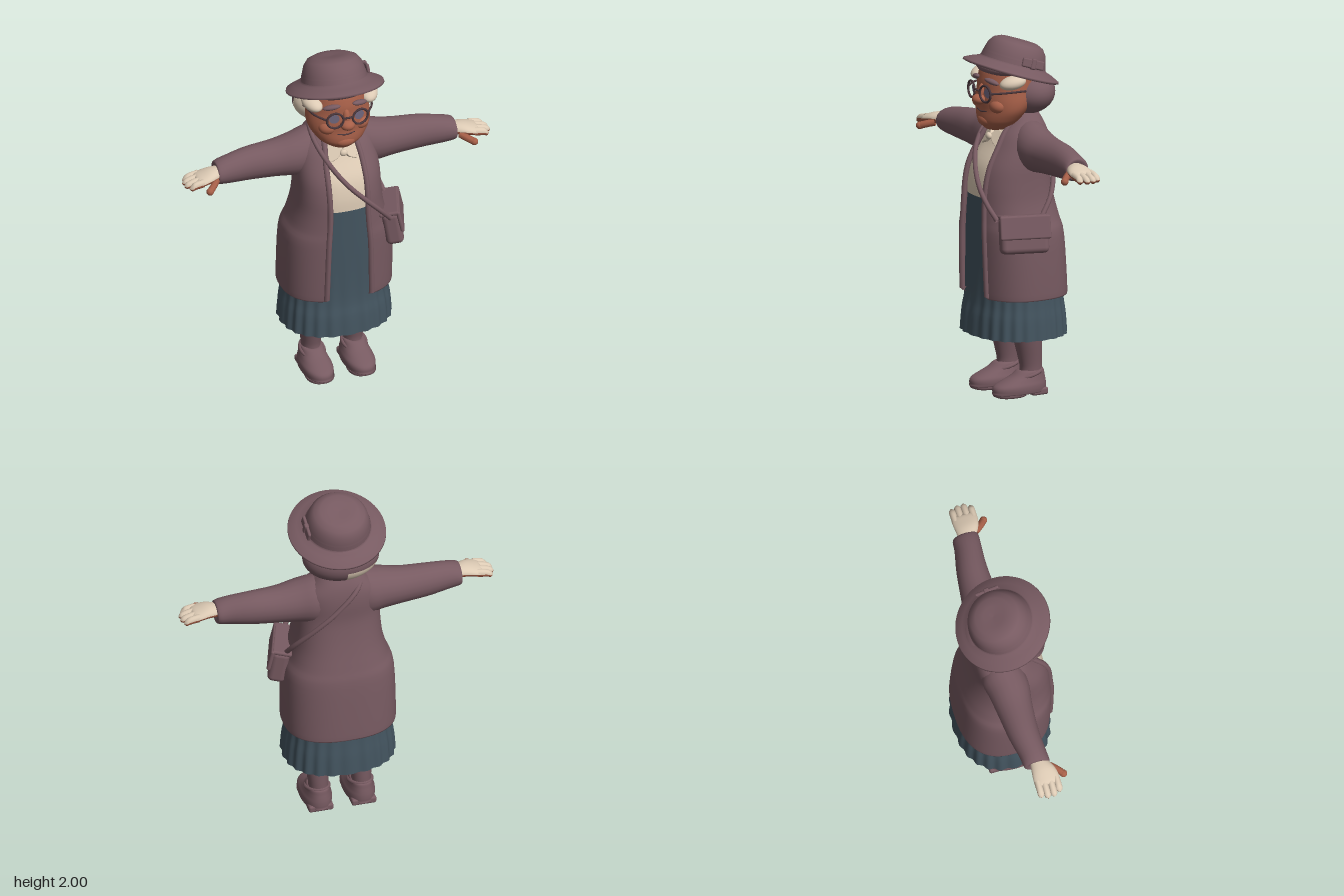
import * as THREE from 'three';
import { RoundedBoxGeometry } from 'three/addons/geometries/RoundedBoxGeometry.js';

const mat = (name, color) => {
  const m = new THREE.MeshStandardMaterial({ color, side: THREE.DoubleSide });
  m.name = name;
  return m;
};
const V = (x, y, z) => new THREE.Vector3(x, y, z);

// Catmull-Rom refinement of a list of number rows
function refine(rows, steps = 4) {
  const out = [];
  for (let i = 0; i < rows.length - 1; i++) {
    const [a, b, c, d] = [rows[Math.max(i - 1, 0)], rows[i], rows[i + 1], rows[Math.min(i + 2, rows.length - 1)]];
    for (let k = 0; k < steps; k++) {
      const t = k / steps;
      out.push(b.map((v, j) => v + 0.5 * t * (c[j] - a[j] + t * (2 * a[j] - 5 * v + 4 * c[j] - d[j] + t * (3 * (v - c[j]) + d[j] - a[j])))));
    }
  }
  out.push(rows[rows.length - 1]);
  return out;
}

// Skin a list of rings of points
function skin(rings, closed = true) {
  const n = rings[0].length, idx = [];
  for (let r = 0; r < rings.length - 1; r++) {
    for (let i = 0; i < (closed ? n : n - 1); i++) {
      const a = r * n + i, b = r * n + (i + 1) % n;
      idx.push(a, b, b + n, a, b + n, a + n);
    }
  }
  const g = new THREE.BufferGeometry().setFromPoints(rings.flat());
  g.setIndex(idx);
  g.computeVertexNormals();
  return g;
}

// Point on an upright section [y, halfWidth, zFront, zBack] at angle a from the front
const pw = (v, p) => Math.sign(v) * Math.abs(v) ** p;
function around([y, w, zf, zb], a, p = 1, x0 = 0) {
  return V(x0 + w * pw(Math.sin(a), p), y, (zf + zb) / 2 + (zf - zb) / 2 * pw(Math.cos(a), p));
}
const angles = (n, from = 0, to = Math.PI * 2, closed = true) =>
  Array.from({ length: n }, (_, i) => from + (to - from) * i / (closed ? n : n - 1));
const upright = (rows, p = 1, x0 = 0, n = 40) =>
  skin(refine(rows).map(r => angles(n).map(a => around(r, a, p, x0))));

// Limb along x from sections [x, y, ry, z, rz]; s is the side
const sideways = (rows, s, from = 0, to = Math.PI * 2, closed = true) =>
  skin(refine(rows).map(([x, y, ry, z, rz]) => angles(20, from, to, closed).map(b =>
    V(s * x, y + ry * Math.cos(b), z + rz * s * Math.sin(b)))), closed);

export function createModel() {
  const model = new THREE.Group();
  model.name = 'elderlyWoman';
  const mauve = mat('mauve', 0x775a61), navy = mat('navy', 0x43545f), cream = mat('cream', 0xdccab4);
  const skinTone = mat('skin', 0xa65f48), dark = mat('darkFrame', 0x4a373c), eyeTone = mat('eye', 0x6f667c);

  const add = (name, geo, material, pos = [0, 0, 0], rot = [0, 0, 0], parent = model) => {
    const m = new THREE.Mesh(geo, material);
    m.name = name;
    m.position.set(...pos);
    m.rotation.set(...rot);
    parent.add(m);
    return m;
  };
  const blob = (name, material, pos, radii, rot, ...arc) =>
    add(name, new THREE.SphereGeometry(1, 28, 18, ...arc), material, pos, rot).scale.set(...radii);
  const tube = (name, pts, r, material) =>
    add(name, new THREE.TubeGeometry(new THREE.CatmullRomCurve3(pts), 48, r, 8), material);

  // Pleated skirt with lining
  const skirtRows = [[.34, .31, .262, -.267], [.45, .302, .254, -.26], [.57, .288, .238, -.247],
    [.9, .275, .236, -.225], [1.14, .225, .235, -.17]];
  add('skirt', skin(refine(skirtRows).map(r => angles(168).map(a => {
    const k = 1 + .018 * Math.max(0, Math.min(1, (.85 - r[0]) / .45)) * Math.cos(24 * a);
    const p = around(r, a, .85);
    return V(p.x * k, p.y, p.z * k);
  }))), navy);
  add('skirtLining', upright([[.345, .298, .25, -.255], [.4, .27, .225, -.23], [.42, .001, 0, -.002]], .85), mauve);

  // Blouse
  add('blouse', upright([[1.12, .222, .236, -.16], [1.2, .22, .232, -.16], [1.3, .21, .208, -.15],
    [1.4, .19, .15, -.14], [1.47, .14, .115, -.12], [1.52, .09, .085, -.09]], .8), cream);
  for (const s of [-1, 1]) {
    const c = new THREE.Shape([[0, .01], [.03, .045], [.085, .04], [.075, -.045], [.035, -.03]].map(q => new THREE.Vector2(s * q[0], q[1])));
    add('blouseCollar', new THREE.ExtrudeGeometry(c, { depth: .012, bevelSize: .005, bevelThickness: .005 }),
      cream, [0, 1.445, .135], [-.5, s * .3, 0]);
  }
  blob('collarKnot', cream, [0, 1.45, .155], [.022, .02, .016]);

  // Open coat: the last number of each row is half the front opening
  const coatRows = refine([[.585, .275, .23, -.235, .13], [.57, .305, .25, -.258, .13], [.6, .315, .258, -.264, .13],
    [.9, .308, .265, -.245, .122], [1.0, .275, .263, -.224, .115], [1.1, .25, .26, -.2, .11], [1.2, .24, .252, -.18, .11],
    [1.3, .235, .226, -.167, .11], [1.4, .225, .17, -.17, .105], [1.47, .205, .125, -.165, .095],
    [1.53, .15, .075, -.15, .085], [1.59, .1, .045, -.12, .07]]);
  const coatRings = coatRows.map(r => {
    const a0 = Math.asin((r[4] / r[1]) ** (1 / .8));
    return angles(56, a0, Math.PI * 2 - a0, false).map(a => around(r, a, .8));
  });
  add('coat', skin(coatRings, false), mauve);
  for (const end of [0, 55])
    tube('coatFrontEdge', coatRings.slice(4).filter((_, i) => i % 2 === 0).map(r => r[end]), .016, mauve);
  tube('coatNeckEdge', coatRings[coatRings.length - 1].filter((_, i) => i % 5 === 0), .014, mauve);

  for (const s of [-1, 1]) {
    // Sleeve
    add('sleeve', sideways([[.08, 1.4, .15, -.035, .1], [.16, 1.4, .138, -.03, .12], [.24, 1.395, .122, -.02, .115],
      [.35, 1.39, .105, -.02, .1], [.5, 1.39, .095, -.015, .086], [.62, 1.387, .08, 0, .076],
      [.68, 1.384, .067, .005, .074], [.695, 1.382, .055, .008, .064], [.685, 1.382, .03, .01, .04]], s), mauve);

    // Hand: pale back, skin-coloured palm, four fingers
    const h = Math.PI / 2;
    const twoTone = (name, rows) => {
      add(name + 'Top', sideways(rows, s, -h, h, false), cream);
      add(name + 'Underside', sideways(rows, s, h, 3 * h, false), skinTone);
    };
    twoTone('palm', [[.67, 1.388, .034, .015, .045], [.73, 1.388, .034, .028, .064], [.78, 1.38, .03, .032, .072],
      [.815, 1.372, .024, .032, .07], [.825, 1.37, .004, .032, .06]]);
    [.085, .05, .014, -.02].forEach((z, i) => {
      const tip = [.872, .89, .89, .878][i];
      twoTone('finger', [[.79, 1.378, .024, z, .019], [.84, 1.37, .022, z, .019], [tip - .014, 1.36, .018, z, .017],
        [tip, 1.357, .002, z, .002]]);
    });
    tube('thumb', [V(s * .71, 1.37, .07), V(s * .745, 1.357, .11), V(s * .77, 1.347, .133)], .02, skinTone);
    blob('thumbTip', skinTone, [s * .77, 1.347, .133], [.021, .021, .021]);

    // Leg and shoe
    const x0 = s * .122;
    add('leg', upright([[.08, .055, .03, -.105], [.14, .054, .022, -.103], [.2, .06, .032, -.103], [.34, .082, .065, -.1],
      [.45, .088, .075, -.1]], 1, x0), mauve);
    add('shoe', upright([[.018, .001, .03, .028], [.016, .074, .183, -.115], [.03, .086, .195, -.125], [.06, .086, .188, -.126],
      [.085, .076, .14, -.123], [.11, .067, .082, -.118], [.135, .06, .045, -.113], [.14, .045, .03, -.1]], .9, x0), mauve);
    add('heel', new RoundedBoxGeometry(.14, .04, .1, 2, .012), mauve, [x0, .02, -.065]);
    add('sole', upright([[0, .001, .09, .088], [.001, .07, .178, .01], [.02, .08, .188, 0]], .85, x0), mauve);
    add('shoeStrap', new THREE.TorusGeometry(.062, .011, 8, 28), mauve, [x0, .118, -.018], [Math.PI / 2 + .25, 0, 0]).scale.set(1.02, 1.3, 1);
  }

  // Neck, head and face
  add('neck', upright([[1.42, .085, .09, -.08], [1.5, .075, .09, -.07], [1.6, .08, .1, -.07]]), skinTone);
  add('head', upright([[1.485, .002, .12, .118], [1.492, .06, .168, .04], [1.53, .118, .2, .0], [1.565, .148, .206, -.03],
    [1.61, .174, .203, -.06], [1.66, .182, .206, -.1], [1.72, .176, .2, -.12], [1.78, .17, .195, -.13],
    [1.85, .15, .16, -.12], [1.88, .01, .03, 0]]), skinTone);
  blob('nose', skinTone, [0, 1.665, .215], [.042, .03, .042]);
  blob('noseBridge', skinTone, [0, 1.705, .2], [.022, .05, .024], [-.2, 0, 0]);
  blob('chin', skinTone, [0, 1.545, .178], [.06, .035, .034]);
  tube('mouth', [V(-.05, 1.602, .195), V(0, 1.597, .206), V(.05, 1.602, .195)], .004, dark);
  for (const s of [-1, 1]) {
    blob('cheek', skinTone, [s * .09, 1.635, .15], [.055, .042, .048]);
    add('eye', new THREE.CircleGeometry(.029, 20), eyeTone, [s * .073, 1.71, .206], [0, s * .2, 0]);
    add('glassesRim', new THREE.TorusGeometry(.046, .0065, 8, 32), dark, [s * .073, 1.708, .222], [0, s * .15, 0]);
    tube('glassesArm', [V(s * .118, 1.715, .215), V(s * .165, 1.722, .15), V(s * .19, 1.725, .03)], .006, dark);
    blob('brow', mauve, [s * .082, 1.775, .186], [.05, .015, .018], [0, s * .35, -s * .2]);
    blob('sideTuft', cream, [s * .165, 1.775, .1], [.05, .038, .075], [.2, s * -.3, 0]);
  }
  tube('glassesBridge', [V(-.028, 1.715, .226), V(0, 1.722, .238), V(.028, 1.715, .226)], .006, dark);

  // Hair: mauve, with a pale front and underside on one side
  const P = Math.PI, hairAt = [0, 1.69, -.065], hairSize = [.215, .135, .16];
  blob('hairLeft', mauve, hairAt, hairSize, undefined, P / 2, P);
  blob('hairFrontRight', cream, hairAt, hairSize, undefined, 0, P / 2);
  blob('hairBackRight', mauve, hairAt, hairSize, undefined, 1.5 * P, P / 2, 0, P * .56);
  blob('hairUnderRight', cream, hairAt, hairSize, undefined, 1.5 * P, P / 2, P * .56, P * .44);
  blob('hairFringe', mauve, [0, 1.835, .085], [.172, .05, .112]);

  // Hat, tipped back
  const hat = new THREE.Group();
  hat.name = 'hat';
  hat.position.set(0, 1.808, .012);
  hat.rotation.x = -.31;
  model.add(hat);
  const profile = [[.14, .01], [.2, .008], [.262, -.016], [.272, -.012], [.27, -.002], [.225, .02], [.19, .032],
    [.18, .045], [.174, .08], [.162, .12], [.14, .15], [.105, .166], [.06, .167], [0, .163]];
  add('hatBody', new THREE.LatheGeometry(profile.map(q => new THREE.Vector2(...q)), 56), mauve, undefined, undefined, hat);
  add('hatBand', new THREE.CylinderGeometry(.178, .185, .035, 48, 1, true), mauve, [0, .05, 0], undefined, hat);
  add('hatBow', new RoundedBoxGeometry(.018, .05, .14, 2, .008), mauve, [.183, .068, -.01], [0, 0, .12], hat);
  add('hatBowKnot', new RoundedBoxGeometry(.026, .06, .03, 2, .008), mauve, [.186, .068, -.01], [0, 0, .12], hat);

  // Shoulder bag and strap
  const bag = new THREE.Group();
  bag.name = 'shoulderBag';
  bag.position.set(.298, .95, .11);
  bag.rotation.set(0, -.32, .17);
  model.add(bag);
  add('bagBody', new RoundedBoxGeometry(.1, .2, .27, 4, .03), mauve, [0, -.005, 0], undefined, bag);
  add('bagFlap', new RoundedBoxGeometry(.022, .13, .285, 3, .01), mauve, [.05, .04, 0], [0, 0, .05], bag);
  add('bagTop', new RoundedBoxGeometry(.11, .024, .28, 3, .011), mauve, [-.003, .096, 0], undefined, bag);
  tube('bagStrap', [[.24, 1.03, .245], [.17, 1.11, .268], [.09, 1.19, .268], [0, 1.28, .24], [-.08, 1.385, .188], [-.135, 1.49, .09],
    [-.135, 1.545, -.03], [-.07, 1.5, -.155], [.05, 1.38, -.178], [.17, 1.26, -.152], [.26, 1.14, -.085], [.3, 1.03, 0]]
    .map(q => V(...q)), .014, mauve);

  return model;
}
